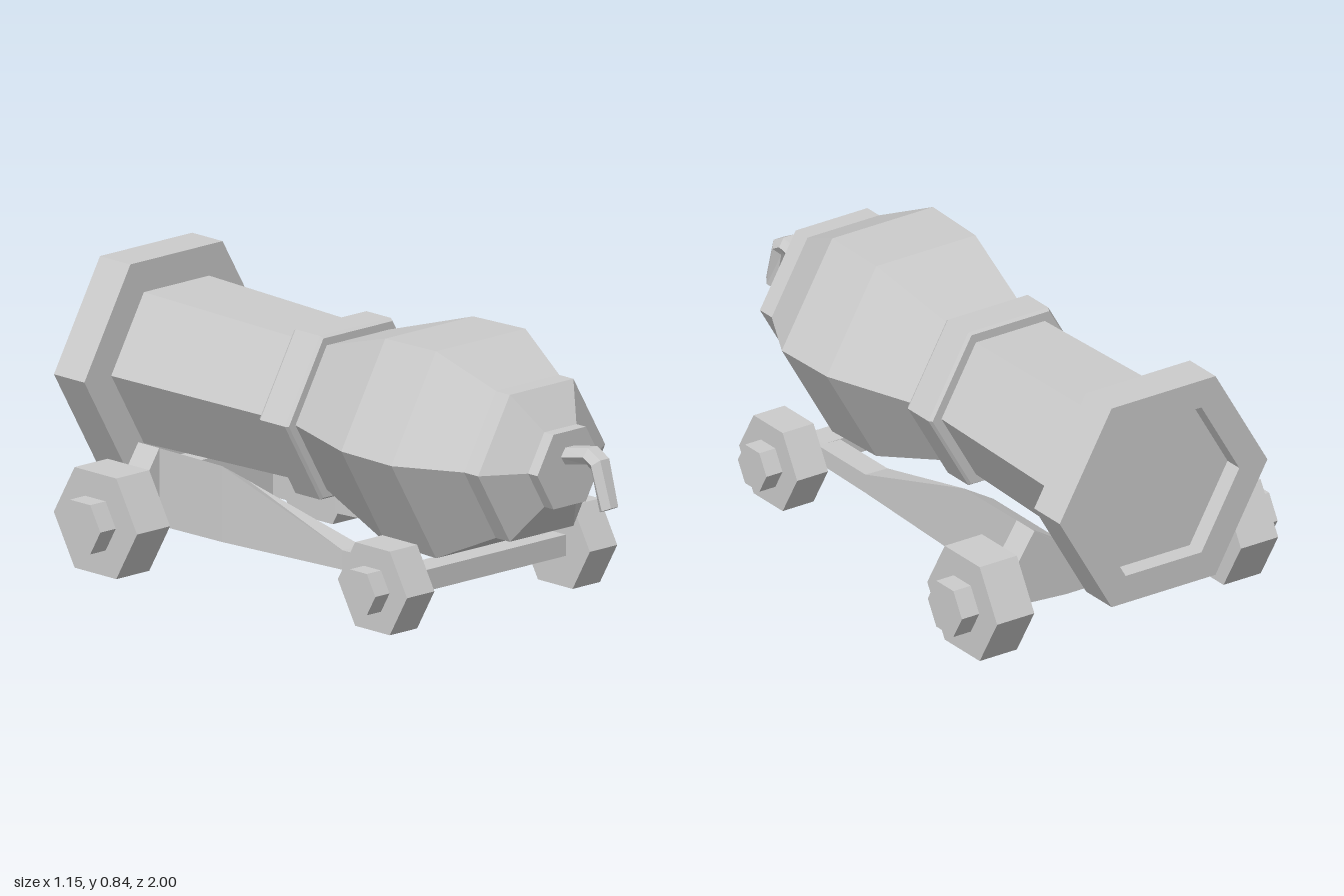
import * as THREE from 'three';

const material = new THREE.MeshStandardMaterial({ color: 0xcccccc, flatShading: true });

function add(parent, name, geometry, x = 0, y = 0, z = 0) {
  const mesh = new THREE.Mesh(geometry, material);
  mesh.name = name;
  mesh.position.set(x, y, z);
  parent.add(mesh);
  return mesh;
}

// Closed solid through rings of points, each counter-clockwise about the path direction
function loft(rings) {
  const n = rings[0].length;
  const pos = [];
  const tri = (a, b, c) => pos.push(...a, ...b, ...c);
  for (let i = 0; i < rings.length - 1; i++) {
    for (let j = 0; j < n; j++) {
      const k = (j + 1) % n;
      const a = rings[i], b = rings[i + 1];
      tri(a[j], a[k], b[k]);
      tri(a[j], b[k], b[j]);
    }
  }
  const first = rings[0], last = rings[rings.length - 1];
  for (let j = 1; j < n - 1; j++) {
    tri(first[0], first[j + 1], first[j]);
    tri(last[0], last[j], last[j + 1]);
  }
  const g = new THREE.BufferGeometry();
  g.setAttribute('position', new THREE.Float32BufferAttribute(pos, 3));
  g.computeVertexNormals();
  return g;
}

// Hexagonal barrel, from the bore floor round the muzzle to the closed breech: [radius, z]
function barrelGeometry() {
  const profile = [
    [0, -0.94], [0.275, -0.94], [0.275, -1], [0.377, -1], [0.377, -0.87], [0.267, -0.87],
    [0.25, -0.22], [0.282, -0.22], [0.29, -0.21], [0.29, -0.105], [0.282, -0.095], [0.255, -0.095],
    [0.36, 0.21], [0.366, 0.43], [0.26, 0.63], [0.26, 0.69], [0.132, 0.77], [0.132, 0.81], [0, 0.81],
  ].map(([r, z]) => new THREE.Vector2(r, z));
  return new THREE.LatheGeometry(profile, 6, Math.PI / 6).rotateX(Math.PI / 2);
}

// Bent hexagonal fuse: [y, z, direction angle, half width]
function fuseGeometry() {
  const path = [
    [0.552, 0.79, 0.1, 0.036], [0.574, 0.905, -0.1, 0.037],
    [0.555, 0.94, -0.85, 0.037], [0.422, 0.978, -1.15, 0.03],
  ];
  return loft(path.map(([y, z, angle, r]) => {
    const ring = [];
    for (let i = 0; i < 6; i++) {
      const t = i * Math.PI / 3, v = Math.sin(t) * 0.03;
      ring.push([Math.cos(t) * r, y + v * Math.cos(angle), z - v * Math.sin(angle)]);
    }
    return ring;
  }));
}

// Side rail that rises to a cheek at the rear: [z, inner x, outer x, bottom, inner top, outer top]
function railGeometry(side) {
  const stations = [
    [-0.7, 0.18, 0.285, 0.112, 0.285, 0.35], [-0.36, 0.18, 0.285, 0.115, 0.285, 0.348],
    [0.15, 0.2, 0.28, 0.13, 0.188, 0.19], [0.43, 0.2, 0.28, 0.135, 0.188, 0.19],
  ];
  return loft(stations.map(([z, xi, xo, bottom, ti, to]) => {
    const ring = [[xi, bottom], [xo, bottom], [xo, to], [xi, ti]].map(([x, y]) => [side * x, y, z]);
    return side > 0 ? ring : ring.reverse();
  }));
}

// Rear axle with two raised shoulders that cradle the barrel
function rearAxleGeometry() {
  const half = [[0.17, 0.11], [0.385, 0.125], [0.385, 0.2], [0.285, 0.35], [0.19, 0.28]];
  const outline = [...half, ...half.map(([x, y]) => [-x, y]).reverse()];
  const shape = new THREE.Shape(outline.map(([x, y]) => new THREE.Vector2(x, y)));
  return new THREE.ExtrudeGeometry(shape, { depth: 0.09, bevelEnabled: false });
}

function hexDisc(radius, width) {
  return new THREE.CylinderGeometry(radius, radius, width, 6).rotateZ(Math.PI / 2);
}

export function createModel() {
  const model = new THREE.Group();
  model.name = 'cannon';

  add(model, 'barrel', barrelGeometry(), 0.018, 0.516, 0);
  add(model, 'fuse', fuseGeometry(), 0.018, 0, 0);

  const carriage = new THREE.Group();
  carriage.name = 'carriage';
  model.add(carriage);
  add(carriage, 'frontAxle', new THREE.BoxGeometry(0.68, 0.065, 0.09), 0, 0.157, 0.435);
  add(carriage, 'rearAxle', rearAxleGeometry(), 0, 0, -0.717);

  // Wheels with projecting hubs
  const wheelSets = [
    { name: 'front', y: 0.157, z: 0.435, radius: 0.148, hub: 0.073, inner: 0.318, outer: 0.43, tip: 0.488 },
    { name: 'rear', y: 0.155, z: -0.665, radius: 0.178, hub: 0.087, inner: 0.375, outer: 0.51, tip: 0.573 },
  ];
  for (const side of [1, -1]) {
    const label = side > 0 ? 'Left' : 'Right';
    add(carriage, 'rail' + label, railGeometry(side));
    for (const w of wheelSets) {
      const wheel = new THREE.Group();
      wheel.name = w.name + 'Wheel' + label;
      wheel.position.set(0, w.y, w.z);
      add(wheel, 'rim', hexDisc(w.radius, w.outer - w.inner), side * (w.inner + w.outer) / 2);
      add(wheel, 'hub', hexDisc(w.hub, w.tip - w.outer), side * (w.outer + w.tip) / 2);
      carriage.add(wheel);
    }
  }
  return model;
}
